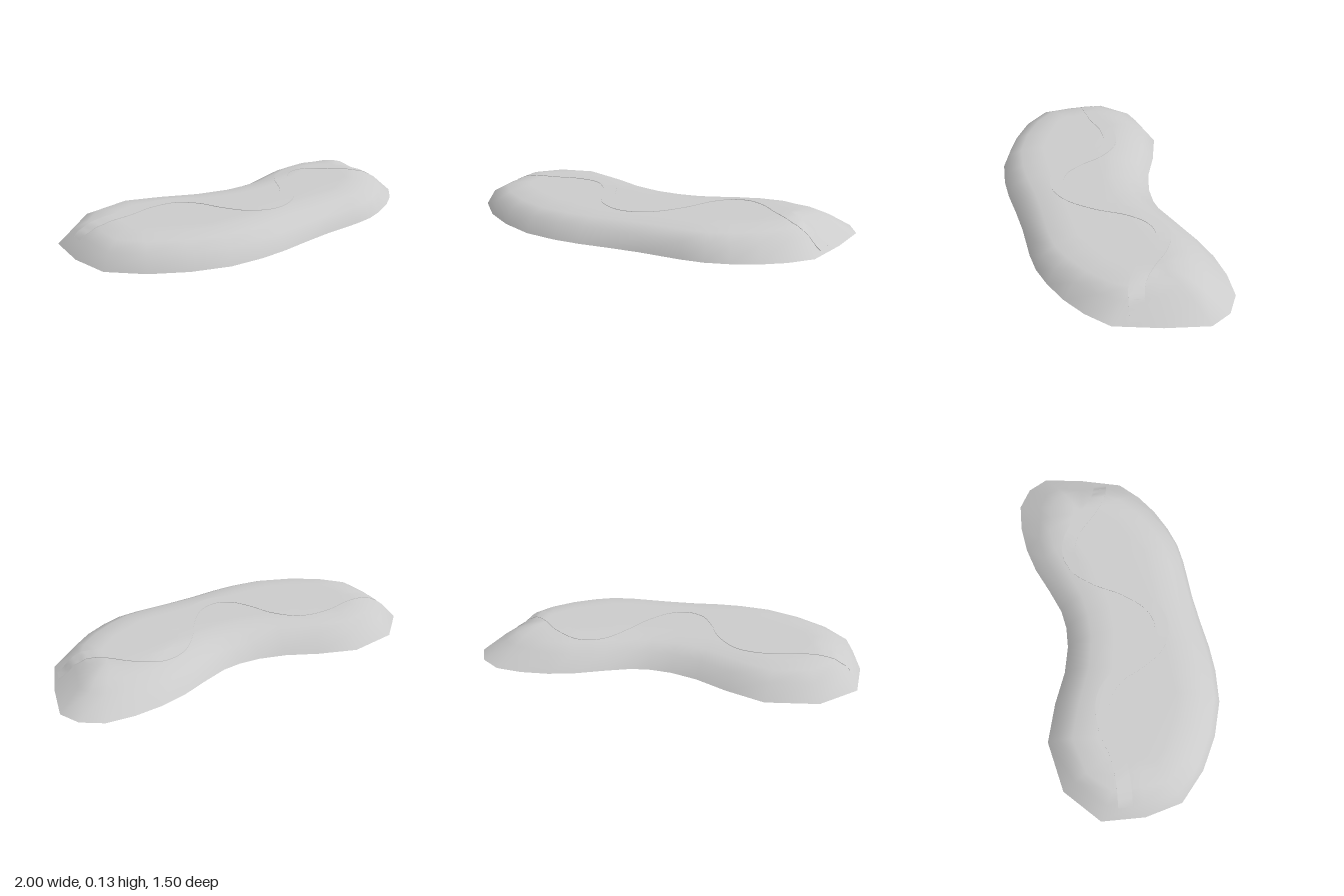
import * as THREE from 'three';
import { mergeGeometries } from 'three/addons/utils/BufferGeometryUtils.js';

const material = new THREE.MeshStandardMaterial({ color: 0xcccccc, side: THREE.DoubleSide });
const toPoints = (list) => list.map(([x, z]) => new THREE.Vector3(x, 0, z));

// Footprint of the mound as x, z and the width of its lower slope there
const footprint = [
  [-1, 0.28, 0.08], [-0.91, 0.04, 0.075], [-0.68, -0.125, 0.065], [-0.46, -0.155, 0.065],
  [-0.27, -0.16, 0.065], [-0.12, -0.19, 0.065], [-0.01, -0.235, 0.06], [0.08, -0.295, 0.06],
  [0.18, -0.4, 0.06], [0.29, -0.525, 0.07], [0.4, -0.62, 0.09], [0.53, -0.7, 0.12],
  [0.67, -0.755, 0.14], [0.8, -0.74, 0.14], [0.9, -0.665, 0.14], [0.96, -0.45, 0.12],
  [1, -0.21, 0.1], [0.95, -0.07, 0.08], [0.88, 0.05, 0.06], [0.79, 0.16, 0.045],
  [0.7, 0.245, 0.035], [0.6, 0.31, 0.035], [0.4, 0.415, 0.035], [0.26, 0.5, 0.04],
  [0.12, 0.59, 0.04], [-0.01, 0.66, 0.04], [-0.18, 0.725, 0.04], [-0.38, 0.748, 0.04],
  [-0.58, 0.733, 0.04], [-0.78, 0.668, 0.05], [-0.91, 0.5, 0.07],
];

// Middle line of the flat top
const spine = new THREE.CatmullRomCurve3(toPoints([
  [-0.55, 0.33], [-0.3, 0.3], [0.05, 0.19], [0.4, -0.06], [0.67, -0.35],
])).getPoints(60);

// Middle line of the winding path
const pathLine = new THREE.CatmullRomCurve3(toPoints([
  [-0.9, 0.385], [-0.78, 0.335], [-0.66, 0.265], [-0.53, 0.16], [-0.38, 0.105], [-0.24, 0.145],
  [-0.12, 0.24], [0, 0.305], [0.12, 0.295], [0.22, 0.2], [0.27, 0.03], [0.285, -0.15],
  [0.33, -0.28], [0.42, -0.355], [0.55, -0.36], [0.68, -0.32], [0.82, -0.295], [0.96, -0.328],
]));

// Joins rows of points into one smooth surface, with optional extra faces
function surface(rows, closed, extraFaces = []) {
  const n = rows[0].length;
  const index = [...extraFaces];
  for (let r = 0; r < rows.length - 1; r++) {
    for (let i = 0; i < (closed ? n : n - 1); i++) {
      const j = (i + 1) % n;
      const a = r * n + i, b = r * n + j, c = a + n, d = b + n;
      index.push(a, c, b, b, c, d);
    }
  }
  const geometry = new THREE.BufferGeometry().setFromPoints(rows.flat());
  geometry.setIndex(index);
  geometry.computeVertexNormals();
  return geometry;
}

// Open shell: rings step in from the footprint towards the spine
function createMound() {
  const levels = [
    { y: 0, slopes: 0, extra: 0, limit: 0 },
    { y: 0.081, slopes: 1, extra: 0, limit: 0.5 },
    { y: 0.115, slopes: 1, extra: 0.075, limit: 0.7 },
    { y: 0.13, slopes: 1, extra: 0.16, limit: 0.82 },
    { y: 0.1315, slopes: 1, extra: 0.21, limit: 0.92 },
  ];
  const outline = toPoints(footprint);
  const n = outline.length;
  const feet = outline.map((p) => spine.reduce((best, s) => (s.distanceTo(p) < best.distanceTo(p) ? s : best)));
  const rings = levels.map(({ y, slopes, extra, limit }) => outline.map((p, i) => {
    const inset = footprint[i][2] * slopes + extra;
    return p.clone().lerp(feet[i], Math.min(inset / p.distanceTo(feet[i]), limit)).setY(y);
  }));

  // Flat cap over the last ring
  const rim = rings.at(-1).map((p) => new THREE.Vector2(p.x, -p.z)).reverse();
  const cap = THREE.ShapeUtils.triangulateShape(rim, []).flat().map((i) => rings.length * n - 1 - i);

  const mound = new THREE.Mesh(surface(rings, true, cap), material);
  mound.name = 'mound';
  return mound;
}

// Flat ribbon with upright edges, draped over the mound
function createPath(mound) {
  const ray = new THREE.Raycaster();
  const down = new THREE.Vector3(0, -1, 0);
  const heightAt = (p) => {
    ray.set(p.clone().setY(1), down);
    const hit = ray.intersectObject(mound)[0];
    return hit ? hit.point.y : 0.01;
  };
  const steps = 110;
  const row = (offset, lift) => Array.from({ length: steps + 1 }, (_, i) => {
    const t = pathLine.getTangentAt(i / steps);
    const p = pathLine.getPointAt(i / steps).add(new THREE.Vector3(-t.z, 0, t.x).multiplyScalar(offset));
    return p.setY(Math.max(heightAt(p) + lift, 0));
  });
  const half = 0.039, top = 0.003, bottom = -0.004;
  const path = new THREE.Mesh(mergeGeometries([
    surface([row(-half, top), row(0, top), row(half, top)].reverse(), false),
    surface([row(-half, top), row(-half, bottom)], false),
    surface([row(half, bottom), row(half, top)], false),
  ]), material);
  path.name = 'path';
  return path;
}

export function createModel() {
  const group = new THREE.Group();
  group.name = 'moundWithPath';
  const mound = createMound();
  group.add(mound, createPath(mound));
  return group;
}
